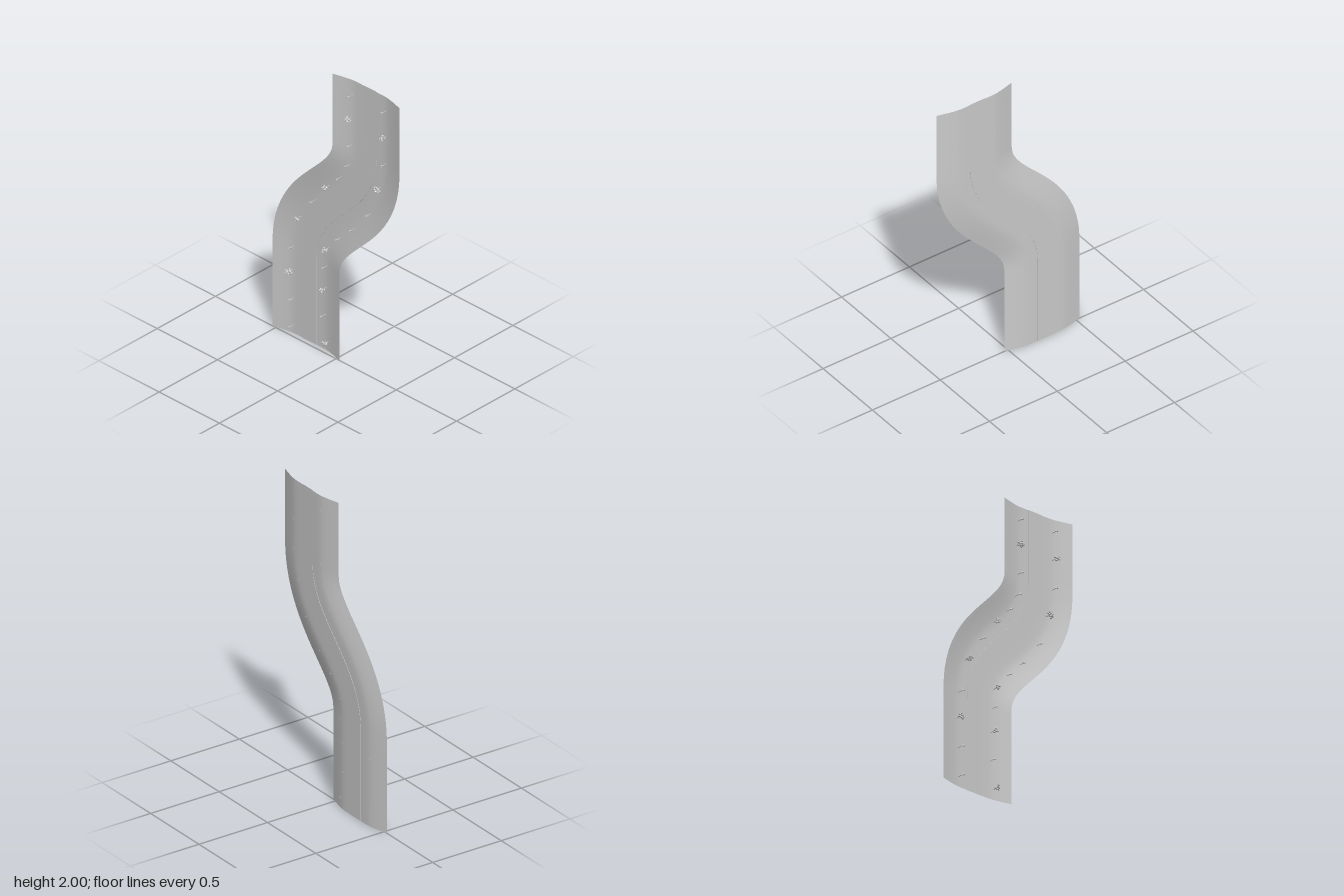
import * as THREE from 'three';
import { mergeGeometries, toCreasedNormals } from 'three/addons/utils/BufferGeometryUtils.js';

const material = new THREE.MeshStandardMaterial({ color: 0xcccccc, side: THREE.DoubleSide });

// Height of the valley floor at a distance from the centre line
const BANK = [[0.055, -0.033], [0.1, -0.033], [0.13, -0.032], [0.155, -0.029], [0.2, -0.02], [0.24, -0.0095], [0.277, 0]];

// Centre line: straight, S-bend, straight; each station has a point and a sideways direction
function stations() {
  const bend = new THREE.CubicBezierCurve(
    new THREE.Vector2(-0.25, 0.6), new THREE.Vector2(-0.25, 1.03),
    new THREE.Vector2(0.25, 1.1), new THREE.Vector2(0.25, 1.53));
  const list = [];
  const add = (p, t) => list.push({ p, side: new THREE.Vector2(t.y, -t.x) });
  const up = new THREE.Vector2(0, 1);
  for (let i = 0; i < 4; i++) add(new THREE.Vector2(-0.25, i * 0.15), up);
  for (let i = 0; i <= 28; i++) add(bend.getPoint(i / 28), bend.getTangent(i / 28));
  for (let i = 1; i <= 4; i++) add(new THREE.Vector2(0.25, 1.53 + i * 0.1175), up);
  return list;
}

// Sweep a cross-section of [sideways, z] points along the stations
function sweep(path, section) {
  const n = section.length, pos = [], index = [];
  path.forEach(({ p, side }, i) => {
    section.forEach(([d, z], j) => {
      pos.push(p.x + side.x * d, p.y + side.y * d, z);
      if (i && j) {
        const c = i * n + j, b = c - n;
        index.push(b - 1, b, c, b - 1, c, c - 1);
      }
    });
  });
  const geo = new THREE.BufferGeometry();
  geo.setAttribute('position', new THREE.Float32BufferAttribute(pos, 3));
  geo.setIndex(index);
  geo.computeVertexNormals();
  return geo;
}

let seed = 7;
const random = () => (seed = (seed * 16807) % 2147483647) / 2147483647;

// Trunk standing on the ground along +z, its foot just through the surface
function trunk(radius, top) {
  const length = top + 0.036;
  return new THREE.CylinderGeometry(radius * 0.7, radius, length, 6)
    .rotateX(Math.PI / 2).translate(0, 0, top - length / 2).toNonIndexed();
}

// Bush: a trunk with a loose cluster of leaf clumps
function bush(size) {
  const parts = [trunk(0.0025, 0.015)];
  const count = size > 0.02 ? 14 : 9;
  for (let i = 0; i < count; i++) {
    const a = i * 2.4, r = size * Math.sqrt((i + 0.3) / count) * 0.85;
    parts.push(new THREE.IcosahedronGeometry(0.0055 + random() * 0.003, 0)
      .rotateZ(random() * 3)
      .translate(Math.cos(a) * r, Math.sin(a) * r, 0.024 - random() * 0.02 - r * 0.3));
  }
  return mergeGeometries(parts);
}

// Sapling: a thin trunk with a few small flat leaves
function sapling() {
  const parts = [trunk(0.002, 0.018)];
  for (let i = 0; i < 3; i++) {
    parts.push(new THREE.OctahedronGeometry(0.0085, 0).scale(1, 0.7, 0.45)
      .rotateZ(i * 1.1).translate(0, 0, 0.003 + i * 0.006));
  }
  return mergeGeometries(parts);
}

export function createModel() {
  const model = new THREE.Group();
  const add = (name, geo, x = 0, y = 0) => {
    const mesh = new THREE.Mesh(geo, material);
    mesh.name = name;
    mesh.position.set(x, y, 0);
    model.add(mesh);
  };
  const path = stations();

  // Banks rising on both sides of the road
  add('leftBank', sweep(path, BANK));
  add('rightBank', sweep(path, BANK.map(([d, z]) => [-d, z]).reverse()));

  // Road: a thin slab whose edges stand slightly proud of the banks
  const w = 0.055, front = -0.03, back = -0.035;
  add('road', toCreasedNormals(
    sweep(path, [[-w, front], [w, front], [w, back], [-w, back], [-w, front]]), 0.6));

  // Bushes: x, y, crown radius
  [[0.1, 1.735, 0.024], [0.34, 1.345, 0.026], [-0.39, 0.445, 0.025],
    [0.39, 1.73, 0.018], [-0.32, 0.85, 0.019], [-0.09, 1.17, 0.019], [-0.09, 0.73, 0.018],
    [-0.11, 0.44, 0.017], [-0.09, 0.07, 0.018],
  ].forEach(([x, y, r]) => add('bush', bush(r), x, y));

  // Saplings: x, y
  [[0.11, 1.9], [0.39, 1.91], [0.11, 1.55], [0.39, 1.535], [0.09, 1.4], [0.02, 1.28],
    [0.265, 1.13], [0.125, 0.96], [-0.2, 1.02], [0.015, 0.85], [-0.375, 0.62], [-0.1, 0.6],
    [-0.375, 0.255], [-0.115, 0.25], [-0.375, 0.065],
  ].forEach(([x, y]) => add('sapling', sapling(), x, y));

  return model;
}
